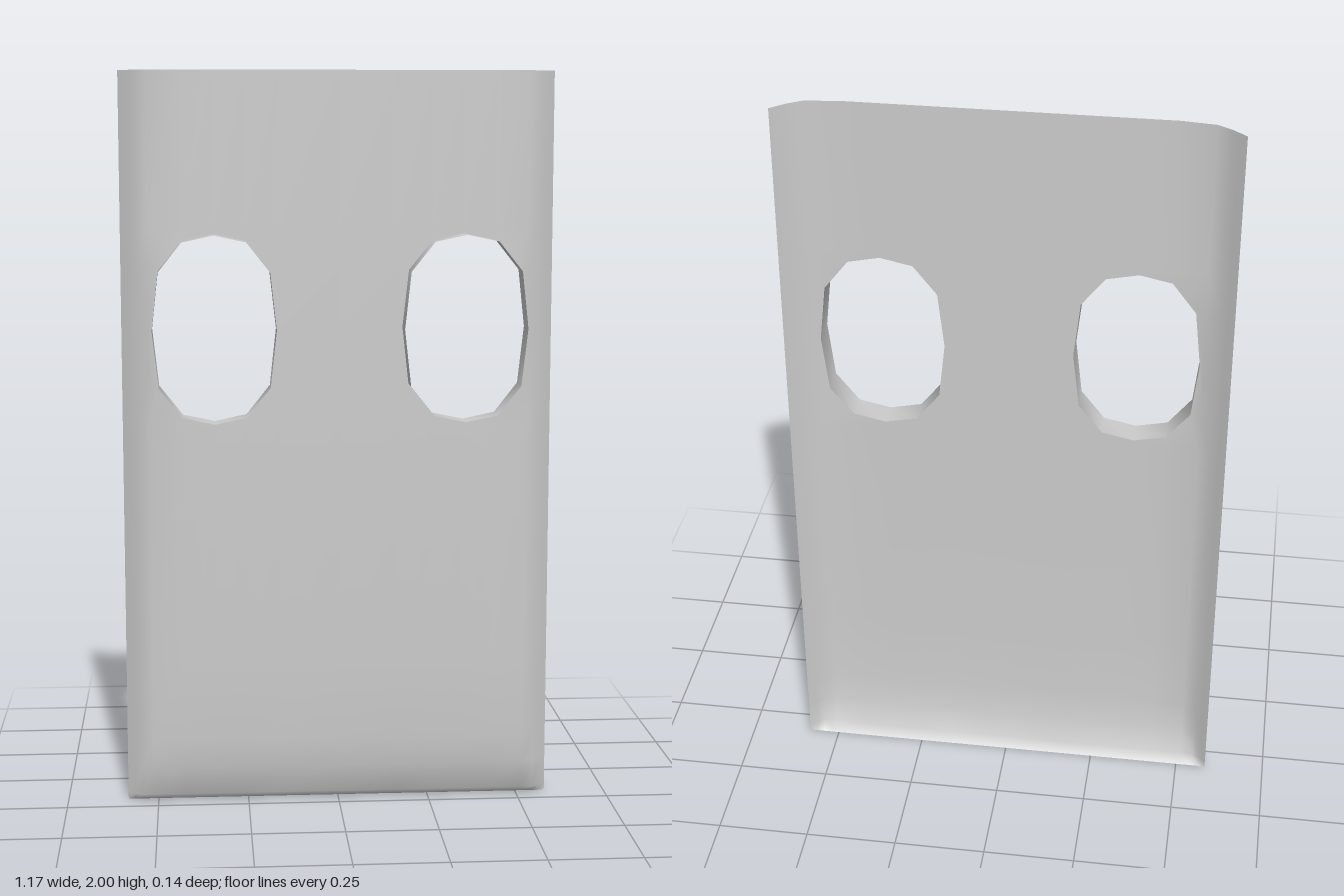
import * as THREE from 'three';
import { mergeVertices } from 'three/addons/utils/BufferGeometryUtils.js';

const CX = 0.335, CY = 1.32;          // centre of an oval opening
const BX = 0.175, BY = 0.27;          // half size of the sheet patch around it
const HX = 0.085, HY = 0.153;         // grid lines that meet the opening's corners

// piecewise linear profile lookup
function lookup(points, t) {
  for (let i = 1; i < points.length; i++) {
    const [a, za] = points[i - 1], [b, zb] = points[i];
    if (t <= b) return za + (zb - za) * (t - a) / (b - a);
  }
  return points[points.length - 1][1];
}

// rolled-back side edges and lower lip
const sideProfile = [[0, -0.003], [0.44, -0.003], [0.5, -0.01], [0.51, -0.014], [0.545, -0.036], [0.565, -0.053], [0.584, -0.07]];
const lipProfile = [[0, -0.066], [0.02, -0.038], [0.1, -0.023], [0.18, -0.01], [0.4, -0.006], [0.8, -0.003], [2, -0.003]];
const depth = (x, y) => Math.min(lookup(sideProfile, Math.abs(x)), lookup(lipProfile, y));

// mirror a quarter outline counter-clockwise into a full loop around a centre
function loop(quarter, cx) {
  const turns = [
    quarter,
    [...quarter].reverse().map(([x, y]) => [-x, y]),
    quarter.map(([x, y]) => [-x, -y]),
    [...quarter].reverse().map(([x, y]) => [x, -y]),
  ];
  return turns.flatMap(t => t.slice(0, -1)).map(([x, y]) => [cx + x, CY + y]);
}
const ovalQuarter = [[0.165, 0], [0.148, HY], [HX, 0.232], [0, 0.25]];
const cutQuarter = [[0.165, 0], [0.148, HY], [(0.148 + HX) / 2, (HY + 0.232) / 2], [HX, 0.232], [0, 0.25]];
const boxQuarter = [[BX, 0], [BX, HY], [BX, BY], [HX, BY], [0, BY]];

// smooth geometry from a list of quads
function fromQuads(quads) {
  const pos = quads.flatMap(([a, b, c, d]) => [a, b, c, a, c, d].flat());
  const geo = new THREE.BufferGeometry();
  geo.setAttribute('position', new THREE.Float32BufferAttribute(pos, 3));
  const merged = mergeVertices(geo, 1e-4);
  merged.computeVertexNormals();
  return merged;
}

function sheetGeometry() {
  const half = [CX - BX, CX - HX, CX, CX + HX, CX + BX, 0.545, 0.565, 0.584];
  const xs = [...half.map(x => -x).reverse(), 0, ...half];
  const ys = [0, 0.02, 0.1, 0.18, 0.4, 0.8, CY - BY, CY - HY, CY, CY + HY, CY + BY, 2];
  const on = ([x, y]) => [x, y, depth(x, y)];
  const quads = [];
  for (let i = 0; i < xs.length - 1; i++) {
    for (let j = 0; j < ys.length - 1; j++) {
      const mx = Math.abs(xs[i] + xs[i + 1]) / 2, my = (ys[j] + ys[j + 1]) / 2;
      if (Math.abs(mx - CX) < BX && Math.abs(my - CY) < BY) continue;
      quads.push([[xs[i], ys[j]], [xs[i + 1], ys[j]], [xs[i + 1], ys[j + 1]], [xs[i], ys[j + 1]]].map(on));
    }
  }
  // sheet around each opening
  for (const s of [-1, 1]) {
    const inner = loop(cutQuarter, s * CX), outer = loop(boxQuarter, s * CX);
    inner.forEach((p, i) => {
      const k = (i + 1) % inner.length;
      quads.push([p, outer[i], outer[k], inner[k]].map(on));
    });
  }
  return fromQuads(quads);
}

// thin collar standing forward from an opening
function collarGeometry(cx) {
  const ring = loop(ovalQuarter, cx);
  return fromQuads(ring.map(([x, y], i) => {
    const [u, v] = ring[(i + 1) % ring.length];
    return [[x, y, depth(x, y)], [u, v, depth(u, v)], [u, v, 0.07], [x, y, 0.07]];
  }));
}

export function createModel() {
  const group = new THREE.Group();
  group.name = 'panelWithOpenings';
  const material = new THREE.MeshStandardMaterial({ color: 0xcccccc, side: THREE.DoubleSide });
  const add = (name, geometry) => {
    const mesh = new THREE.Mesh(geometry, material);
    mesh.name = name;
    group.add(mesh);
  };
  add('curvedPanel', sheetGeometry());
  add('leftCollar', collarGeometry(CX));
  add('rightCollar', collarGeometry(-CX));
  return group;
}
